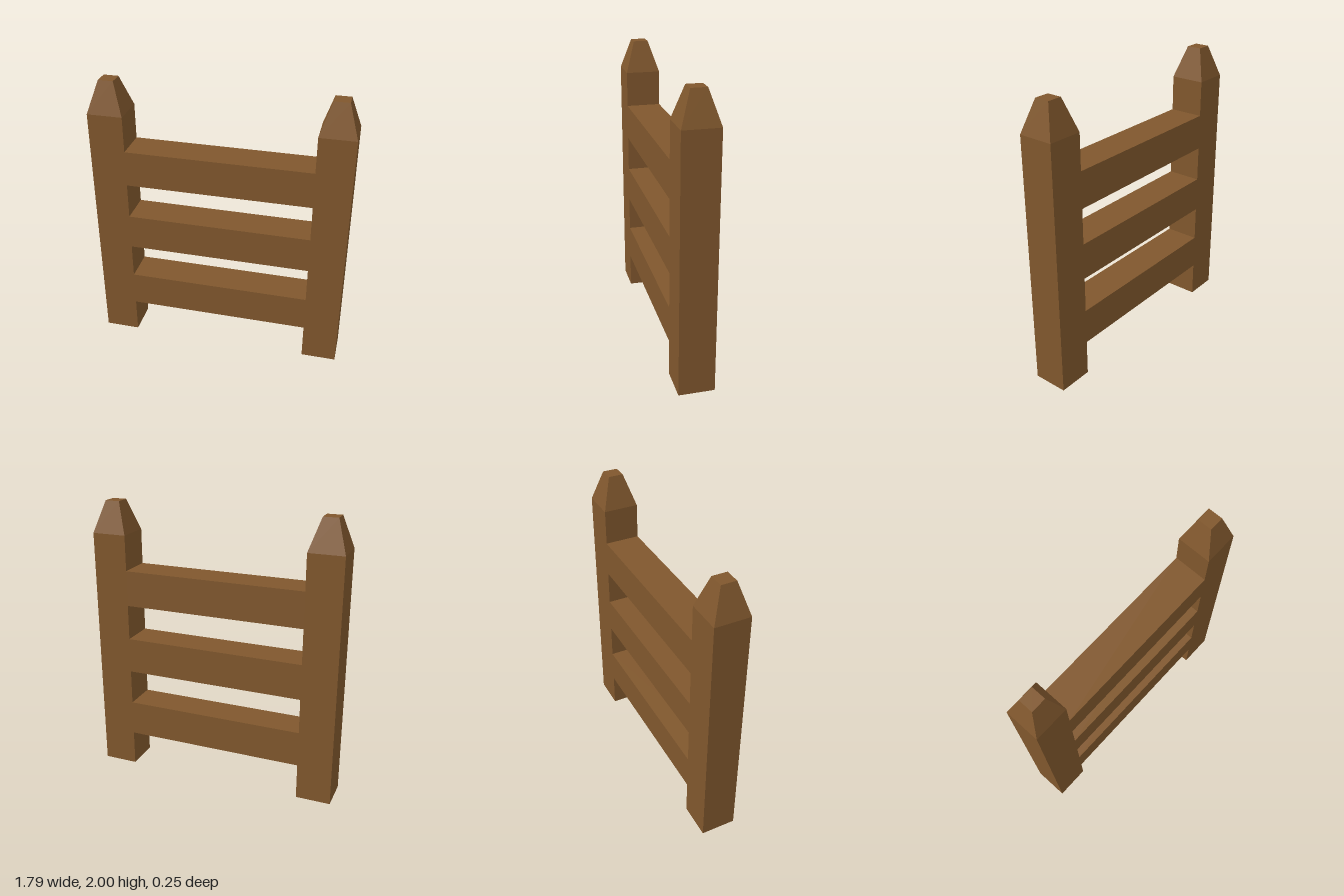
import * as THREE from 'three';

const WIDTH = 0.246;      // thickness of posts and rails
const POST_X = 0.77;      // post centre
const SHOULDER = 1.78;    // where the post starts to taper
const HEIGHT = 2;
const TIP = 0.104;        // width of the flat post tip

const wood = new THREE.MeshStandardMaterial({ color: 0x80572d, flatShading: true });

// Square post whose upper section tapers to a small flat tip
function postGeometry() {
  const box = new THREE.BoxGeometry(WIDTH, 2, WIDTH, 1, 2, 1);
  const pos = box.attributes.position;
  for (let i = 0; i < pos.count; i++) {
    const level = Math.round(pos.getY(i)); // -1 foot, 0 shoulder, 1 tip
    const s = level === 1 ? TIP / WIDTH : 1;
    pos.setXYZ(i, pos.getX(i) * s, [0, SHOULDER, HEIGHT][level + 1], pos.getZ(i) * s);
  }
  const geometry = box.toNonIndexed();
  geometry.computeVertexNormals();
  return geometry;
}

export function createModel() {
  const fence = new THREE.Group();
  fence.name = 'fence';

  // Two mirrored posts
  const postGeo = postGeometry();
  for (const side of [-1, 1]) {
    const post = new THREE.Mesh(postGeo, wood);
    post.name = side > 0 ? 'leftPost' : 'rightPost';
    post.position.x = side * POST_X;
    fence.add(post);
  }

  // Three evenly spaced rails between the posts
  const railGeo = new THREE.BoxGeometry(2 * POST_X - WIDTH, 0.255, WIDTH);
  ['lowerRail', 'middleRail', 'upperRail'].forEach((name, i) => {
    const rail = new THREE.Mesh(railGeo, wood);
    rail.name = name;
    rail.position.y = 0.385 + i * 0.508;
    fence.add(rail);
  });

  return fence;
}
